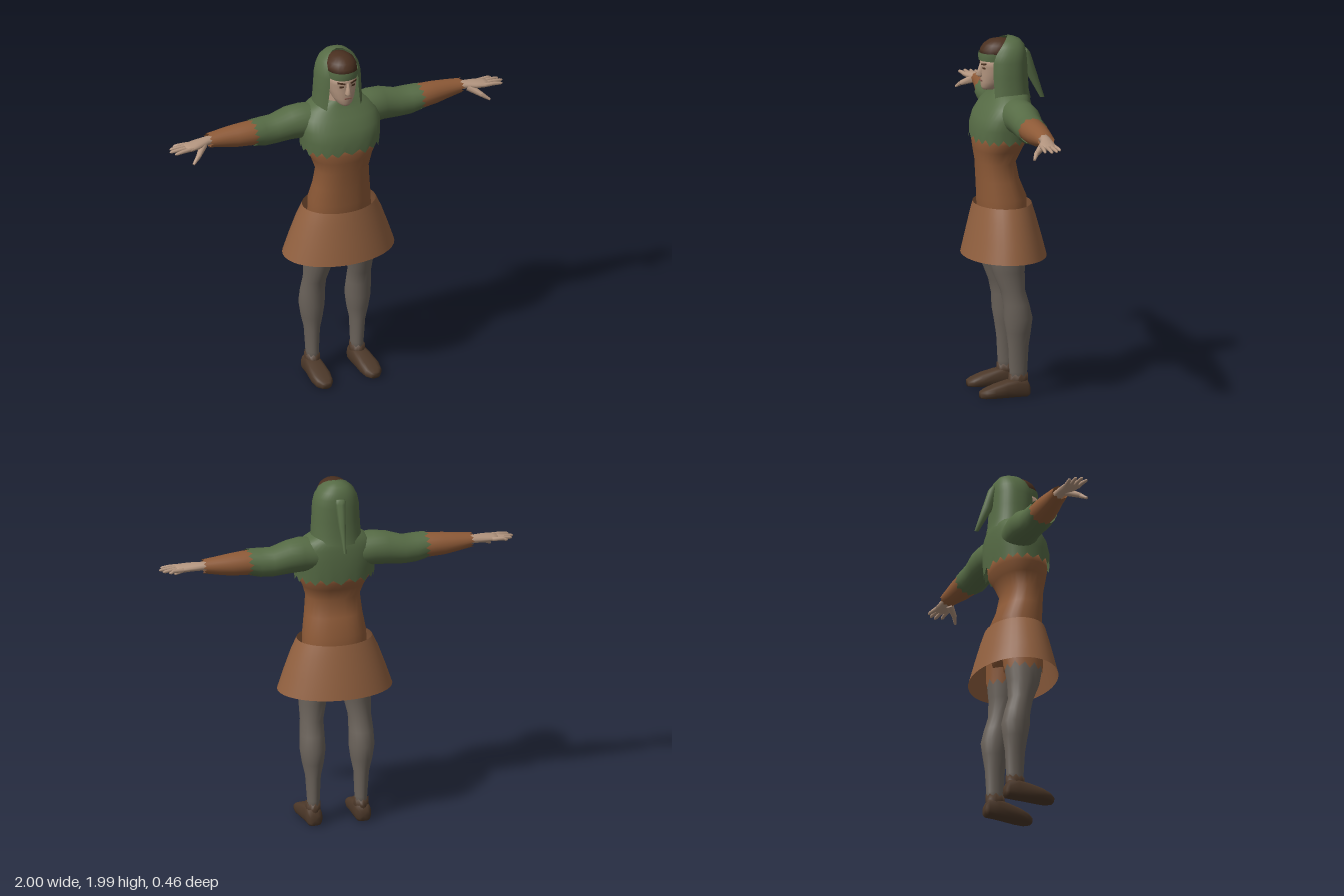
import * as THREE from 'three';

const mat = (name, color, side = THREE.FrontSide) => {
  const m = new THREE.MeshStandardMaterial({ color, side });
  m.name = name;
  return m;
};

// Loft rings along an axis. Section: [position, centreA, centreB, radiusA, radiusB, opening?]
// y axis: A = x, B = z (angle 0 faces +z); x axis: A = y, B = z; z axis: A = x, B = y.
function loft(axis, sections, { n = 20, caps = true, power = 1, warp } = {}) {
  const pos = [], idx = [];
  const open = sections[0].length > 5;
  const cols = open ? n + 1 : n;
  const put = (s, a, b) =>
    axis === 'y' ? [a, s, b] : axis === 'x' ? [s, a, b] : [a, b, s];
  const soft = v => Math.sign(v) * Math.abs(v) ** power;
  sections.forEach(([s, ca, cb, ra, rb, gap = 0], i) => {
    for (let j = 0; j < cols; j++) {
      const t = gap + (j / n) * (Math.PI * 2 - 2 * gap);
      const u = soft(axis === 'y' ? Math.sin(t) : Math.cos(t));
      const v = soft(axis === 'y' ? Math.cos(t) : Math.sin(t));
      const p = put(s, ca + ra * u, cb + rb * v);
      if (warp) warp(p, i, j);
      pos.push(...p);
    }
  });
  for (let i = 0; i < sections.length - 1; i++) {
    for (let j = 0; j < n; j++) {
      const k = (j + 1) % cols, a = i * cols, b = a + cols;
      idx.push(a + j, a + k, b + k, a + j, b + k, b + j);
    }
  }
  if (caps && !open) {
    [0, sections.length - 1].forEach((i, end) => {
      const c = pos.length / 3, [s, ca, cb] = sections[i];
      pos.push(...put(s, ca, cb));
      for (let j = 0; j < n; j++) {
        const a = i * cols + j, b = i * cols + ((j + 1) % n);
        idx.push(c, end ? a : b, end ? b : a);
      }
    });
  }
  const g = new THREE.BufferGeometry();
  g.setAttribute('position', new THREE.Float32BufferAttribute(pos, 3));
  g.setIndex(idx);
  g.computeVertexNormals();
  return g;
}

// Ragged hem: shift alternate points of one ring along an axis
const ragged = (ring, axis, size) => (p, i, j) => {
  if (i === ring) p[axis] += size * ((j % 2) * 2 - 1) * (0.5 + 0.5 * Math.abs(Math.sin(j * 2.3)));
};

// Tapered round limb between two points
function limb(a, b, r1, r2) {
  const va = new THREE.Vector3(...a), vb = new THREE.Vector3(...b);
  const d = vb.clone().sub(va);
  const g = new THREE.CylinderGeometry(r2, r1, d.length(), 8);
  g.applyQuaternion(new THREE.Quaternion().setFromUnitVectors(new THREE.Vector3(0, 1, 0), d.normalize()));
  return g.translate(...va.add(vb).multiplyScalar(0.5).toArray());
}

// Mirror a geometry in x, keeping its faces outward
function mirrored(geo) {
  const g = geo.clone().scale(-1, 1, 1);
  const ix = g.index.array;
  for (let i = 0; i < ix.length; i += 3) [ix[i], ix[i + 1]] = [ix[i + 1], ix[i]];
  g.computeVertexNormals();
  return g;
}

export function createModel() {
  const model = new THREE.Group();
  model.name = 'hoodedFigure';
  const green = mat('greenCloth', 0x566b45, THREE.DoubleSide);
  const brown = mat('brownTunic', 0x8e5a37, THREE.DoubleSide);
  const skirtCloth = mat('skirtCloth', 0x91603f, THREE.DoubleSide);
  const grey = mat('greyHose', 0x6b635b);
  const leather = mat('shoeLeather', 0x4c3829);
  const skin = mat('skin', 0xb3957f);
  const hairMat = mat('darkHair', 0x4a3020);
  const lip = mat('lips', 0x8c6153);

  const add = (name, geo, m) => {
    const mesh = new THREE.Mesh(geo, m);
    mesh.name = name;
    model.add(mesh);
  };
  const pair = (name, geo, m) => {
    add('left' + name, geo, m);
    add('right' + name, mirrored(geo), m);
  };

  // Tunic body
  add('tunicBody', loft('y', [
    [0.86, 0, 0.0, 0.15, 0.1], [0.95, 0, 0.01, 0.18, 0.13], [1.1, 0, 0.012, 0.175, 0.133],
    [1.2, 0, 0.035, 0.16, 0.115], [1.3, 0, 0.048, 0.15, 0.108], [1.37, 0, 0.037, 0.172, 0.13],
    [1.42, 0, 0.027, 0.2, 0.146], [1.48, 0, 0.02, 0.2, 0.145],
  ], { n: 28, power: 0.88 }), brown);

  // Shoulder cape with a ragged hem
  add('cape', loft('y', [
    [1.435, 0, 0.02, 0.22, 0.162], [1.5, 0, 0.017, 0.225, 0.163], [1.56, 0, 0.008, 0.232, 0.153],
    [1.62, 0, -0.01, 0.22, 0.132], [1.66, 0, -0.022, 0.18, 0.112], [1.69, 0, -0.025, 0.13, 0.1],
    [1.71, 0, -0.02, 0.085, 0.085],
  ], { n: 40, caps: false, power: 0.85, warp: ragged(0, 1, 0.018) }), green);

  // Flared skirt, open above and below
  add('skirt', loft('y', [
    [0.775, 0, 0, 0.32, 0.23], [0.88, 0, 0.002, 0.285, 0.205],
    [0.99, 0, 0.005, 0.245, 0.178], [1.065, 0, 0.008, 0.21, 0.158],
  ], { n: 40, caps: false }), skirtCloth);

  // Legs, shorts and shoes
  pair('Leg', loft('y', [
    [0.08, 0.135, -0.05, 0.033, 0.045], [0.14, 0.134, -0.05, 0.034, 0.05], [0.28, 0.136, -0.05, 0.042, 0.057],
    [0.36, 0.137, -0.05, 0.06, 0.068], [0.44, 0.138, -0.048, 0.071, 0.08], [0.52, 0.138, -0.037, 0.068, 0.072],
    [0.6, 0.135, -0.017, 0.064, 0.069], [0.7, 0.125, 0.003, 0.076, 0.09], [0.79, 0.118, 0.007, 0.087, 0.105],
    [0.92, 0.105, 0.007, 0.09, 0.11],
  ]), grey);
  pair('ShortsLeg', loft('y', [
    [0.785, 0.118, 0.007, 0.091, 0.11], [0.85, 0.112, 0.007, 0.094, 0.114], [0.94, 0.095, 0.007, 0.092, 0.118],
  ], { n: 24, warp: ragged(0, 1, 0.022), caps: false }), brown);
  pair('Shoe', loft('z', [
    [-0.11, 0.137, 0.035, 0.03, 0.03], [-0.095, 0.137, 0.045, 0.043, 0.05], [-0.04, 0.137, 0.05, 0.047, 0.055],
    [0.02, 0.141, 0.045, 0.053, 0.048], [0.09, 0.145, 0.035, 0.058, 0.037],
    [0.14, 0.146, 0.025, 0.05, 0.027], [0.168, 0.146, 0.02, 0.028, 0.018],
  ], { n: 16, power: 0.7, warp: p => { p[1] = Math.max(p[1], 0); } }), leather);
  pair('ShoeCollar', loft('y', [
    [0.04, 0.136, -0.048, 0.043, 0.058], [0.09, 0.135, -0.048, 0.04, 0.056], [0.12, 0.135, -0.05, 0.04, 0.054],
  ], { n: 18, warp: ragged(2, 1, 0.01) }), leather);

  // Sleeves
  pair('CapeSleeve', loft('x', [
    [0.1, 1.575, -0.03, 0.09, 0.095], [0.2, 1.583, -0.037, 0.096, 0.098], [0.28, 1.578, -0.047, 0.092, 0.092],
    [0.37, 1.56, -0.05, 0.081, 0.082], [0.44, 1.562, -0.045, 0.08, 0.082], [0.5, 1.57, -0.042, 0.071, 0.08],
  ], { n: 26, caps: false, warp: ragged(5, 0, 0.016) }), green);
  pair('Sleeve', loft('x', [
    [0.42, 1.565, -0.045, 0.068, 0.07], [0.52, 1.568, -0.045, 0.067, 0.072], [0.6, 1.568, -0.05, 0.062, 0.064],
    [0.68, 1.571, -0.053, 0.05, 0.053], [0.755, 1.575, -0.053, 0.037, 0.046],
  ], { n: 22, caps: false, warp: ragged(4, 0, 0.01) }), brown);

  // Hands with four fingers and a thumb
  pair('Palm', loft('x', [
    [0.7, 1.575, -0.052, 0.024, 0.03], [0.77, 1.575, -0.05, 0.023, 0.031], [0.83, 1.572, -0.038, 0.022, 0.043],
    [0.88, 1.57, -0.033, 0.017, 0.046], [0.905, 1.57, -0.033, 0.012, 0.043],
  ], { n: 14 }), skin);
  [[0.955, -0.082], [0.985, -0.058], [0.998, -0.028], [0.982, 0.006]].forEach(([tip, z], i) => {
    const z0 = -0.068 + i * 0.0225;
    pair('Finger' + (i + 1), loft('x', [
      [0.87, 1.57, z0, 0.012, 0.012], [0.93, 1.57, (z0 + z) / 2, 0.011, 0.0105],
      [tip - 0.012, 1.566, z, 0.009, 0.0085], [tip, 1.565, z, 0.004, 0.004],
    ], { n: 8 }), skin);
  });
  pair('ThumbBase', limb([0.795, 1.565, -0.03], [0.852, 1.53, 0.025], 0.023, 0.014), skin);
  pair('ThumbTip', limb([0.85, 1.531, 0.024], [0.89, 1.503, 0.047], 0.014, 0.007), skin);

  // Head and face
  add('neck', new THREE.CylinderGeometry(0.055, 0.06, 0.14, 16).translate(0, 1.69, 0.0), skin);
  add('head', loft('y', [
    [1.7, 0, 0.075, 0.028, 0.042], [1.715, 0, 0.066, 0.045, 0.06], [1.745, 0, 0.052, 0.062, 0.076],
    [1.79, 0, 0.038, 0.075, 0.09], [1.83, 0, 0.03, 0.081, 0.097], [1.88, 0, 0.03, 0.085, 0.103],
  ], { n: 24, power: 0.92 }), skin);
  add('nose', loft('y', [
    [1.772, 0, 0.13, 0.016, 0.012], [1.784, 0, 0.132, 0.019, 0.026],
    [1.81, 0, 0.127, 0.011, 0.018], [1.845, 0, 0.12, 0.008, 0.014],
  ], { n: 10 }), skin);
  add('mouth', new THREE.BoxGeometry(0.042, 0.008, 0.008).translate(0, 1.75, 0.127), lip);
  pair('Eye', new THREE.BoxGeometry(0.024, 0.01, 0.008).rotateY(0.35).translate(0.034, 1.823, 0.117), hairMat);
  pair('Eyebrow', new THREE.BoxGeometry(0.042, 0.009, 0.009).rotateZ(0.18).rotateY(0.35).translate(0.036, 1.846, 0.12), hairMat);
  add('headband', loft('y', [
    [1.865, 0, 0.03, 0.089, 0.108], [1.888, 0, 0.03, 0.091, 0.11], [1.908, 0, 0.03, 0.09, 0.107],
  ], { n: 24, caps: false, power: 0.92 }), green);
  add('hair', loft('y', [
    [1.89, 0, 0.03, 0.088, 0.106], [1.925, 0, 0.03, 0.086, 0.1], [1.952, 0, 0.028, 0.074, 0.084],
    [1.972, 0, 0.026, 0.05, 0.058], [1.98, 0, 0.025, 0.022, 0.026],
  ], { n: 20 }), hairMat);

  // Hood, open at the face, with two hanging front points
  add('hood', loft('y', [
    [1.65, 0, -0.02, 0.143, 0.125, 0.8], [1.7, 0, -0.017, 0.136, 0.118, 0.74], [1.78, 0, -0.015, 0.131, 0.115, 0.68],
    [1.86, 0, -0.014, 0.127, 0.112, 0.68], [1.905, 0, -0.016, 0.117, 0.106, 0.8], [1.945, 0, -0.02, 0.097, 0.092, 1.0],
    [1.972, 0, -0.022, 0.067, 0.068, 1.15], [1.987, 0, -0.022, 0.034, 0.036, 1.25], [1.99, 0, -0.022, 0.002, 0.002, 1.3],
  ], { n: 30, power: 0.88, warp: (p, i, j) => { if (i === 0 && (j < 4 || j > 26)) p[1] -= 0.03; } }), green);
  add('hoodTail', loft('y', [
    [1.635, 0, -0.218, 0.007, 0.012], [1.78, 0, -0.155, 0.02, 0.03], [1.89, 0, -0.125, 0.028, 0.025],
    [1.915, 0, -0.122, 0.026, 0.01],
  ], { n: 8, power: 0.8 }), green);

  return model;
}
